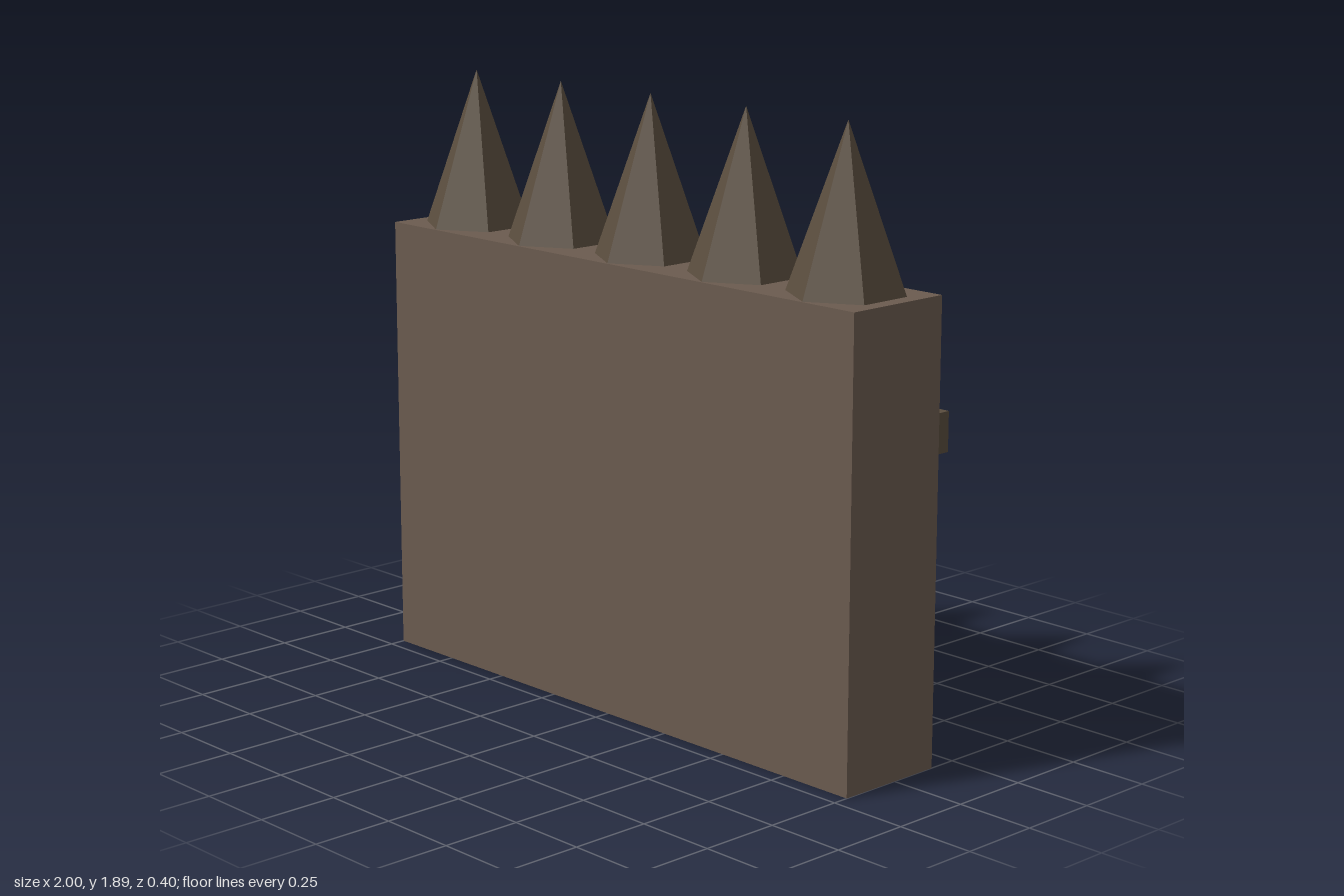
import * as THREE from 'three';

export function createModel() {
  const group = new THREE.Group();
  const stone = new THREE.MeshStandardMaterial({ color: 0x6b5b4f, flatShading: true });
  const dark = new THREE.MeshStandardMaterial({ color: 0x5a4d3e, flatShading: true });

  const add = (name, geometry, material, x, y, z) => {
    const mesh = new THREE.Mesh(geometry, material);
    mesh.name = name;
    mesh.position.set(x, y, z);
    group.add(mesh);
  };

  // Wall slab
  add('wall', new THREE.BoxGeometry(2, 1.4, 0.36), stone, 0, 0.7, 0.02);

  // Rail along the back, half sunk into the wall
  add('backRail', new THREE.BoxGeometry(2, 0.12, 0.08), dark, 0, 1, -0.16);

  // Row of six-sided spikes on top
  const spike = new THREE.ConeGeometry(0.175, 0.49, 6);
  for (let i = 0; i < 5; i++) {
    add(`spike${i + 1}`, spike, dark, -0.8 + i * 0.4, 1.645, 0.02);
  }

  return group;
}
